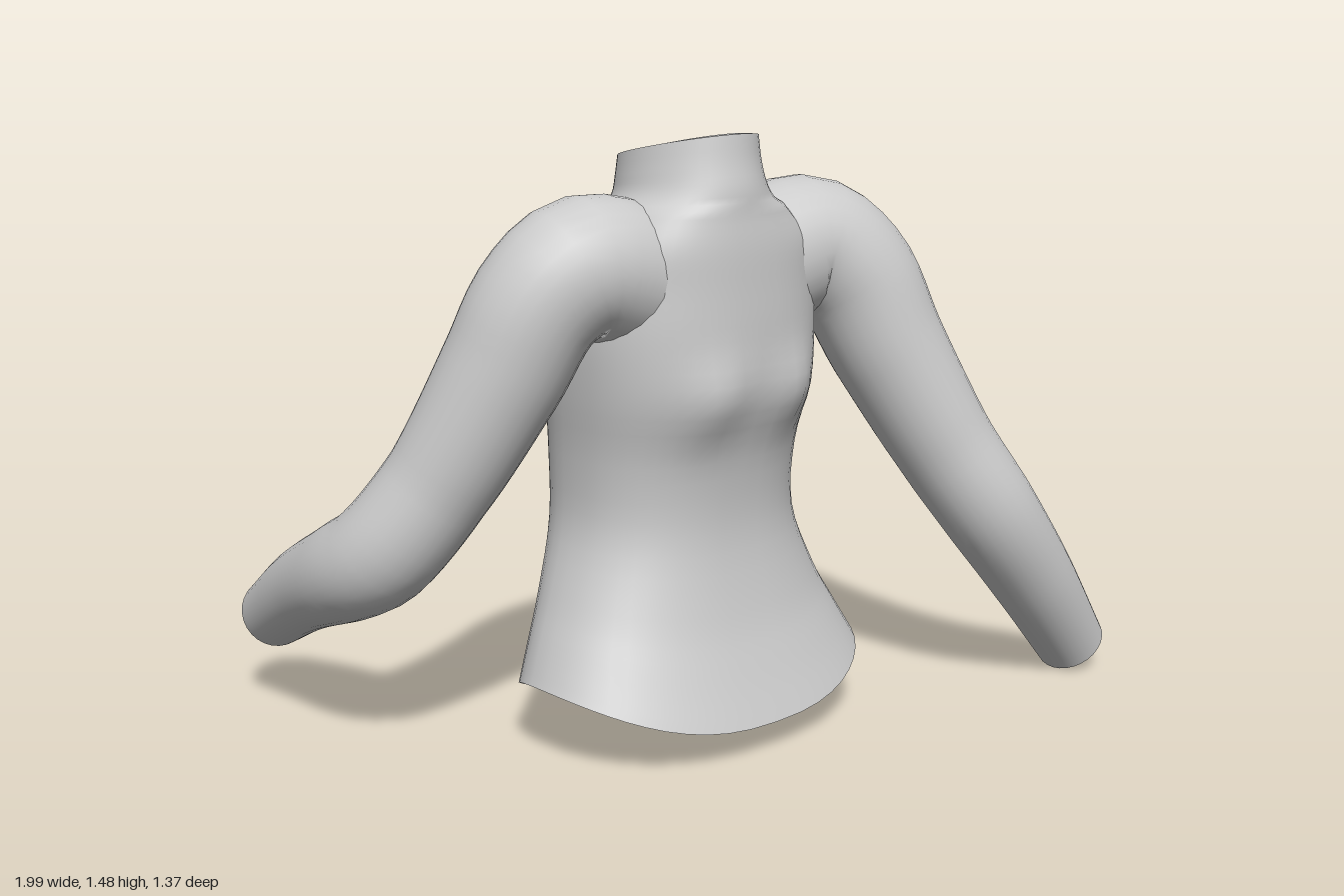
import * as THREE from 'three';

const material = new THREE.MeshStandardMaterial({ color: 0xcccccc, side: THREE.DoubleSide });
const V = (x, y, z) => new THREE.Vector3(x, y, z);

// Smooth skin over a list of closed rings; a repeated ring makes a sharp edge
function loft(name, rings) {
  const n = rings[0].length, index = [];
  for (let i = 0; i < rings.length - 1; i++) {
    for (let j = 0; j < n; j++) {
      const k = (j + 1) % n;
      const a = i * n + j, b = i * n + k, c = a + n, d = b + n;
      index.push(a, c, b, b, c, d);
    }
  }
  const geometry = new THREE.BufferGeometry().setFromPoints(rings.flat());
  geometry.setIndex(index);
  geometry.computeVertexNormals();
  const mesh = new THREE.Mesh(geometry, material);
  mesh.name = name;
  return mesh;
}

// Sleeve: stations are [x, y, z, radius] from the armhole to the cuff
function sleeve(name, stations) {
  const curve = new THREE.CatmullRomCurve3(stations.map(([x, y, z]) => V(x, y, z)));
  const steps = 44, sides = 28, wall = 0.014;
  const frames = curve.computeFrenetFrames(steps);
  const ring = (i, inset) => {
    const u = i / steps, p = curve.getPointAt(u);
    const s = curve.getUtoTmapping(u) * (stations.length - 1);
    const k = Math.min(Math.floor(s), stations.length - 2);
    const r = THREE.MathUtils.lerp(stations[k][3], stations[k + 1][3], s - k) - inset;
    return Array.from({ length: sides }, (_, j) => {
      const a = j / sides * Math.PI * 2;
      return p.clone()
        .addScaledVector(frames.normals[i], r * Math.cos(a))
        .addScaledVector(frames.binormals[i], -r * Math.sin(a));
    });
  };
  const rings = [];
  for (let i = 0; i <= steps; i++) rings.push(ring(i, 0));
  // cuff edge and inner wall
  rings.push(ring(steps, 0), ring(steps, wall));
  for (let i = steps; i >= steps - 14; i--) rings.push(ring(i, wall));
  return loft(name, rings);
}

// Torso sections: y, x min, x max, z back, z front, hem drop, collar tilt
const SECTIONS = [
  [0.18, -0.60, 0.34, -0.11, 0.50, 1, 0],
  [0.27, -0.555, 0.295, -0.11, 0.45, 0.7, 0],
  [0.37, -0.505, 0.245, -0.115, 0.405, 0.4, 0],
  [0.53, -0.445, 0.185, -0.13, 0.37, 0.1, 0],
  [0.70, -0.44, 0.18, -0.14, 0.385, 0, 0],
  [0.86, -0.455, 0.195, -0.14, 0.43, 0, 0],
  [1.00, -0.46, 0.20, -0.115, 0.435, 0, 0],
  [1.12, -0.445, 0.185, -0.07, 0.43, 0, 0],
  [1.21, -0.425, 0.155, -0.01, 0.425, 0, 0],
  [1.28, -0.38, 0.08, 0.015, 0.415, 0, 0.1],
  [1.33, -0.335, 0.02, 0.02, 0.41, 0, 0.4],
  [1.38, -0.32, 0.005, 0.022, 0.395, 0, 0.8],
  [1.435, -0.31, 0.0, 0.025, 0.385, 0, 1],
];

function torso() {
  const place = new THREE.CatmullRomCurve3(SECTIONS.map(s => V(s[0], s[1], s[2])), false, 'catmullrom');
  const depth = new THREE.CatmullRomCurve3(SECTIONS.map(s => V(s[3], s[4], s[5])), false, 'catmullrom');
  const steps = 48, sides = 48;
  const ring = (i, inset) => {
    const t = i / steps, P = place.getPoint(t), D = depth.getPoint(t);
    const s = t * (SECTIONS.length - 1), k = Math.min(Math.floor(s), SECTIONS.length - 2);
    const tilt = THREE.MathUtils.lerp(SECTIONS[k][6], SECTIONS[k + 1][6], s - k);
    const power = P.x > 1.3 ? 1 : 0.84;
    const round = v => Math.sign(v) * Math.abs(v) ** power;
    const cx = (P.y + P.z) / 2, hw = (P.z - P.y) / 2 - inset;
    const cz = (D.x + D.y) / 2, hd = (D.y - D.x) / 2 - inset;
    return Array.from({ length: sides }, (_, j) => {
      const a = j / sides * Math.PI * 2;
      const c = round(Math.cos(a)), w = round(Math.sin(a));
      const drop = (w > 0 ? 0.11 : 0.15) * Math.abs(w) ** 2.4 * D.z;
      const p = V(cx + hw * c, P.x - drop + 0.035 * w * tilt, cz + hd * w);
      // two soft swellings across the chest
      if (w > 0) {
        for (const side of [-1, 1]) {
          const dx = (p.x + 0.13 - side * 0.13) / 0.08, dy = (p.y - 0.86) / 0.09;
          p.z += 0.028 * Math.exp(-dx * dx - dy * dy);
        }
      }
      return p;
    });
  };
  const rings = [];
  for (let i = 0; i <= steps; i++) rings.push(ring(i, 0));
  // collar edge and inner wall
  rings.push(ring(steps, 0), ring(steps, 0.024));
  for (let i = steps; i >= steps - 8; i--) rings.push(ring(i, 0.024));
  return loft('torso', rings);
}

export function createModel() {
  const group = new THREE.Group();
  group.name = 'longSleevedTop';
  group.add(torso());
  // left sleeve reaches forward and down
  group.add(sleeve('leftSleeve', [
    [0.05, 1.14, 0.22, 0.18],
    [0.20, 1.175, 0.26, 0.17],
    [0.29, 1.10, 0.32, 0.16],
    [0.36, 0.92, 0.385, 0.148],
    [0.475, 0.66, 0.485, 0.13],
    [0.575, 0.485, 0.555, 0.125],
    [0.73, 0.285, 0.58, 0.112],
    [0.92, 0.05, 0.58, 0.093],
  ]));
  // right sleeve bends back at the elbow
  group.add(sleeve('rightSleeve', [
    [-0.33, 1.14, 0.19, 0.18],
    [-0.48, 1.17, 0.19, 0.165],
    [-0.57, 1.10, 0.16, 0.155],
    [-0.64, 0.94, 0.11, 0.148],
    [-0.755, 0.68, 0.01, 0.13],
    [-0.85, 0.51, -0.09, 0.13],
    [-0.87, 0.45, -0.19, 0.125],
    [-0.855, 0.35, -0.41, 0.108],
    [-0.83, 0.225, -0.63, 0.09],
  ]));
  return group;
}
